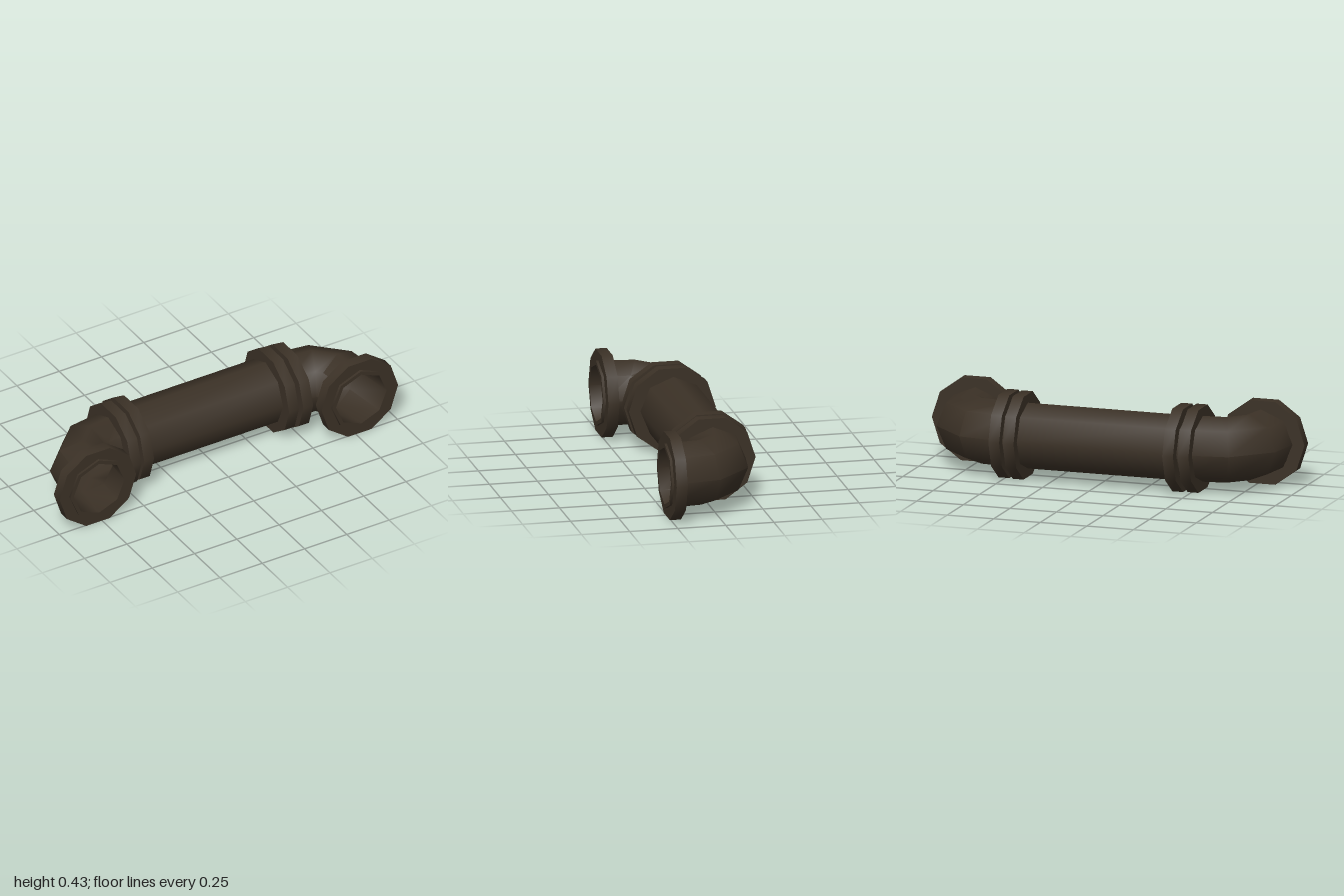
import * as THREE from 'three';
import { toCreasedNormals } from 'three/addons/utils/BufferGeometryUtils.js';

const AXIS_Y = 0.215;
const SIDES = 8;

// Left half of the pipe's path: x, z and the bend angle of each section
const HALF_PATH = [
  [-0.775, 0.268, 0],
  [-0.751, 0.072, 22.5],
  [-0.656, -0.022, 67.5],
  [-0.465, -0.048, 90],
];

// Eight-sided cross-section, tilted to follow the bend
function section([x, z, degrees], radius) {
  const t = THREE.MathUtils.degToRad(degrees);
  const points = [];
  for (let i = 0; i < SIDES; i++) {
    const a = (i / SIDES) * Math.PI * 2;
    const r = radius * Math.cos(a);
    points.push([x - r * Math.cos(t), AXIS_Y + radius * Math.sin(a), z - r * Math.sin(t)]);
  }
  return points;
}

// Hollow pipe: outer wall, end rim, then back along the bore
function pipeGeometry(outer, bore) {
  const mirrored = HALF_PATH.map(([x, z, t]) => [-x, z, 180 - t]).reverse();
  const path = [...HALF_PATH, ...mirrored];
  const rings = [
    ...path.map((p) => section(p, outer)),
    ...[...path].reverse().map((p) => section(p, bore)),
  ];
  const index = [];
  rings.forEach((_, i) => {
    const next = (i + 1) % rings.length;
    for (let j = 0; j < SIDES; j++) {
      const k = (j + 1) % SIDES;
      const a = i * SIDES + j, b = i * SIDES + k;
      const c = next * SIDES + j, d = next * SIDES + k;
      index.push(a, b, c, b, d, c);
    }
  });
  const geometry = new THREE.BufferGeometry();
  geometry.setAttribute('position', new THREE.Float32BufferAttribute(rings.flat(2), 3));
  geometry.setIndex(index);
  return toCreasedNormals(geometry, 0.9);
}

// Ten-sided collar with a square-edged profile, around the y axis
function collarGeometry(width) {
  const h = width / 2;
  const profile = [[0.157, -h], [0.226, -h], [0.226, h], [0.157, h], [0.157, -h]];
  return new THREE.LatheGeometry(profile.map(([r, y]) => new THREE.Vector2(r, y)), 10);
}

export function createModel() {
  const model = new THREE.Group();
  model.name = 'pipe';
  const iron = new THREE.MeshStandardMaterial({ color: 0x3b3126 });
  iron.name = 'dark iron';

  const add = (name, geometry, x = 0, y = 0, z = 0) => {
    const mesh = new THREE.Mesh(geometry, iron);
    mesh.name = name;
    mesh.position.set(x, y, z);
    model.add(mesh);
  };

  add('bentPipe', pipeGeometry(0.171, 0.15));

  // Collars around the straight run and flanges at the open ends
  const collar = toCreasedNormals(collarGeometry(0.058).rotateZ(Math.PI / 2), 0.9);
  const flange = toCreasedNormals(collarGeometry(0.058).rotateY(Math.PI / 2).rotateX(Math.PI / 2), 0.9);
  for (const [side, s] of [['left', 1], ['right', -1]]) {
    add(side + 'InnerCollar', collar, s * 0.428, AXIS_Y, -0.043);
    add(side + 'OuterCollar', collar, s * 0.508, AXIS_Y, -0.035);
    add(side + 'EndFlange', flange, s * 0.774, AXIS_Y, 0.226);
  }
  return model;
}
